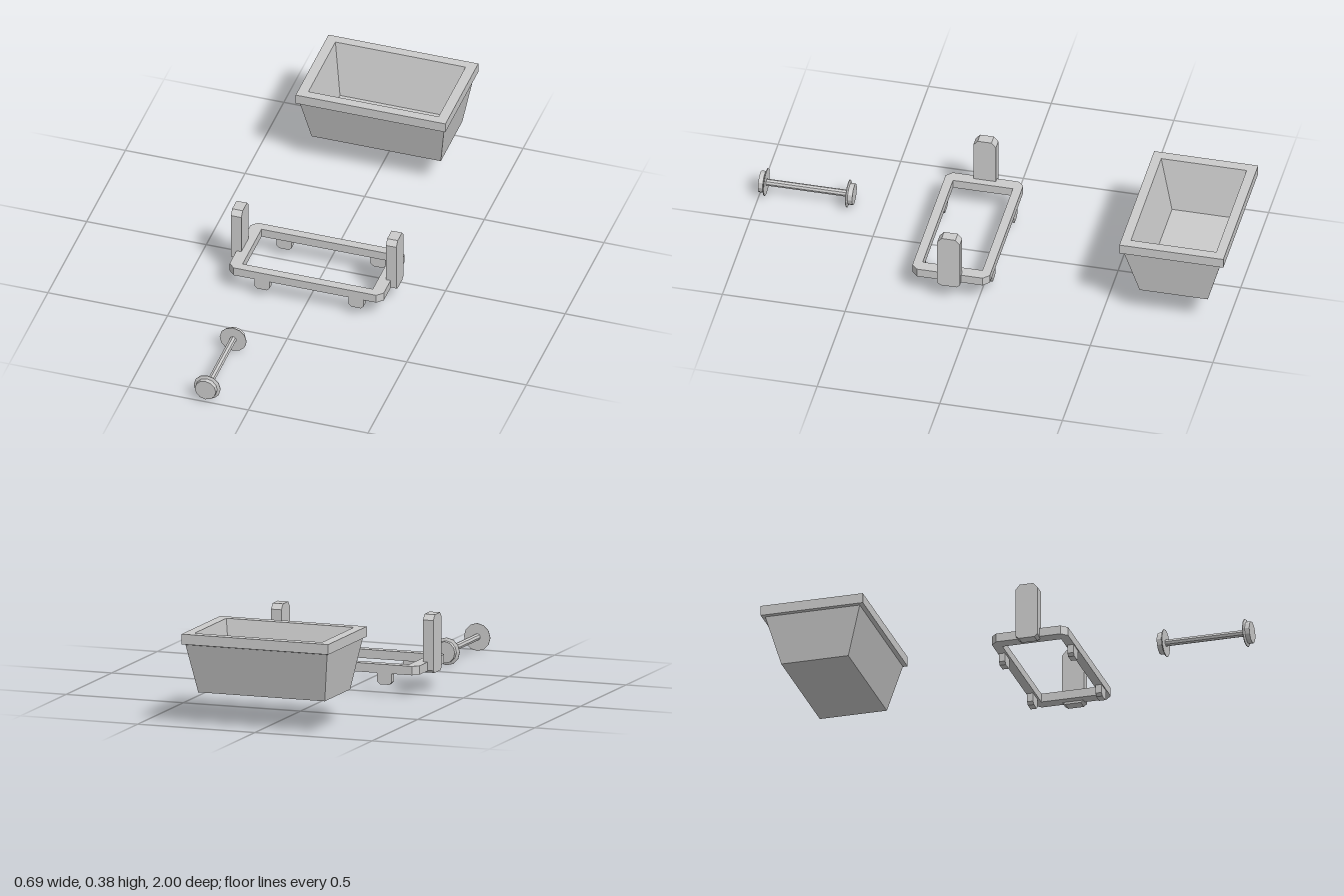
import * as THREE from 'three';

const material = new THREE.MeshStandardMaterial({ color: 0xcccccc, flatShading: true });

function add(parent, name, geometry, x = 0, y = 0, z = 0) {
  const mesh = new THREE.Mesh(geometry, material);
  mesh.name = name;
  mesh.position.set(x, y, z);
  parent.add(mesh);
  return mesh;
}

function group(parent, name, x, y, z) {
  const g = new THREE.Group();
  g.name = name;
  g.position.set(x, y, z);
  parent.add(g);
  return g;
}

// Shape from [x, y] points
const polygon = (points) => new THREE.Shape(points.map(([x, y]) => new THREE.Vector2(x, y)));

// Rectangle centred on x, from y0 to y1, with chamfered bottom and top corners
function chamferedRect(half, y0, y1, bx, by, tx, ty) {
  const right = [[half - bx, y0], [half, y0 + by], [half, y1 - ty], [half - tx, y1]];
  const left = right.map(([x, y]) => [-x, y]).reverse();
  return polygon([...right, ...left].filter((p, i, a) => i === 0 || p[0] !== a[i - 1][0] || p[1] !== a[i - 1][1]));
}

// Extrusion centred on z
function slab(shape, depth) {
  return new THREE.ExtrudeGeometry(shape, { depth, bevelEnabled: false }).translate(0, 0, -depth / 2);
}

// Closed surface through rectangular sections [halfX, y, halfZ]
function rectLoft(sections) {
  const rings = sections.map(([x, y, z]) => [[x, y, z], [x, y, -z], [-x, y, -z], [-x, y, z]]);
  const positions = [];
  const quad = (a, b, c, d) => positions.push(...a, ...b, ...c, ...a, ...c, ...d);
  for (let i = 0; i < rings.length - 1; i++) {
    for (let j = 0; j < 4; j++) {
      const k = (j + 1) % 4;
      quad(rings[i][j], rings[i][k], rings[i + 1][k], rings[i + 1][j]);
    }
  }
  quad(...[...rings[0]].reverse());
  quad(...rings[rings.length - 1]);
  const geometry = new THREE.BufferGeometry();
  geometry.setAttribute('position', new THREE.Float32BufferAttribute(positions, 3));
  geometry.computeVertexNormals();
  return geometry;
}

export function createModel() {
  const model = new THREE.Group();
  model.name = 'mineCartParts';

  // Tapered tub with overhanging rim and hollow inside
  add(model, 'tub', rectLoft([
    [0.27, 0.132, 0.139],
    [0.302, 0.332, 0.196],
    [0.313, 0.336, 0.212],
    [0.313, 0.377, 0.212],
    [0.272, 0.377, 0.174],
    [0.236, 0.158, 0.122],
  ]), 0, 0, -0.788);

  // Rectangular chassis ring with chamfered outer corners
  const chassis = group(model, 'chassis', 0, 0, 0.113);
  const ring = chamferedRect(0.158, -0.322, 0.322, 0.024, 0.024, 0.024, 0.024);
  ring.holes.push(new THREE.Path([[-0.122, -0.272], [-0.122, 0.272], [0.122, 0.272], [0.122, -0.272]]
    .map(([x, y]) => new THREE.Vector2(x, y))));
  const ringGeometry = slab(ring, 0.036).rotateZ(Math.PI / 2).rotateX(-Math.PI / 2);
  add(chassis, 'chassisFrame', ringGeometry, 0, 0.104, 0);

  // Upright posts at both ends
  const postShape = chamferedRect(0.046, 0.077, 0.312, 0.014, 0.011, 0.018, 0.021);
  for (const side of [-1, 1]) {
    add(chassis, side > 0 ? 'leftPost' : 'rightPost',
      slab(postShape, 0.044).rotateY(Math.PI / 2), side * 0.324, 0, 0);
  }

  // Axle brackets under the long rails
  const bracketShape = chamferedRect(0.031, 0.04, 0.09, 0.011, 0.011, 0, 0);
  for (const x of [-0.18, 0.2125]) {
    for (const side of [-1, 1]) {
      add(chassis, 'axleBracket', slab(bracketShape, 0.025), x, 0, side * 0.142);
    }
  }

  // Wheel set: axle with a flanged wheel at each end
  const wheelSet = group(model, 'wheelSet', -0.18, 0.056, 0.808);
  add(wheelSet, 'axle', new THREE.CylinderGeometry(0.014, 0.014, 0.34, 8).rotateX(Math.PI / 2));
  const profile = [[0, 0.166], [0.056, 0.166], [0.056, 0.169], [0.044, 0.173], [0.044, 0.192], [0, 0.192]]
    .map(([r, y]) => new THREE.Vector2(r, y));
  for (const side of [-1, 1]) {
    add(wheelSet, side > 0 ? 'frontWheel' : 'backWheel',
      new THREE.LatheGeometry(profile, 12).rotateX(side * Math.PI / 2));
  }

  return model;
}
